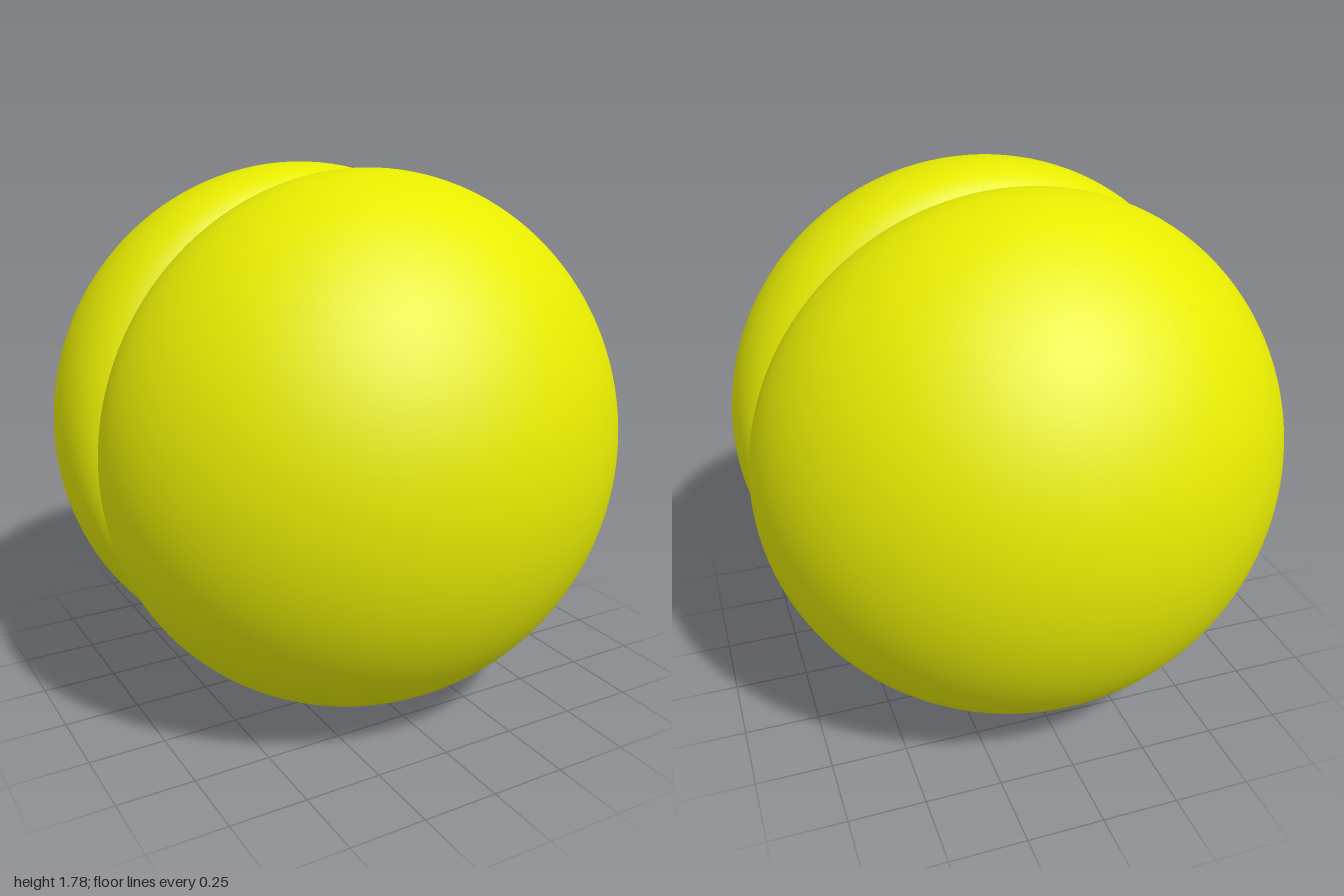
import * as THREE from 'three';

// Each lobe is a surface of revolution where z * exp(-K * R) is constant,
// R being the distance from the centre and z the distance along the axis.
const K = 18;
const MID_R = 0.917; // near the widest ring, where the two samplings meet

function lobeProfile() {
  const points = [new THREE.Vector2(0, 0)];

  // Nearly flat inner face curling out to the rounded rim
  const innerSteps = 40;
  for (let i = 1; i <= innerSteps; i++) {
    const R = MID_R * (1 - (1 - i / innerSteps) ** 1.8);
    const z = Math.exp(K * (R - 1));
    points.push(new THREE.Vector2(Math.sqrt(R * R - z * z), z));
  }

  // Outer dome, from the rim to the pole
  const startAngle = Math.acos(Math.exp(K * (MID_R - 1)) / MID_R);
  const domeSteps = 64;
  for (let i = 1; i < domeSteps; i++) {
    const angle = startAngle * (1 - i / domeSteps);
    let R = 1;
    for (let n = 0; n < 12; n++) R = 1 + Math.log(R * Math.cos(angle)) / K;
    points.push(new THREE.Vector2(R * Math.sin(angle), R * Math.cos(angle)));
  }
  points.push(new THREE.Vector2(0, 1));
  return points;
}

export function createModel() {
  const group = new THREE.Group();
  group.name = 'twoLobes';

  const material = new THREE.MeshStandardMaterial({ color: 0xe6eb00 });
  const geometry = new THREE.LatheGeometry(lobeProfile(), 128);

  // Matching front and back lobes, meeting at the middle plane
  for (const [name, side] of [['frontLobe', 1], ['backLobe', -1]]) {
    const lobe = new THREE.Mesh(geometry, material);
    lobe.name = name;
    lobe.rotation.x = side * Math.PI / 2;
    lobe.position.y = 0.889;
    group.add(lobe);
  }
  return group;
}
